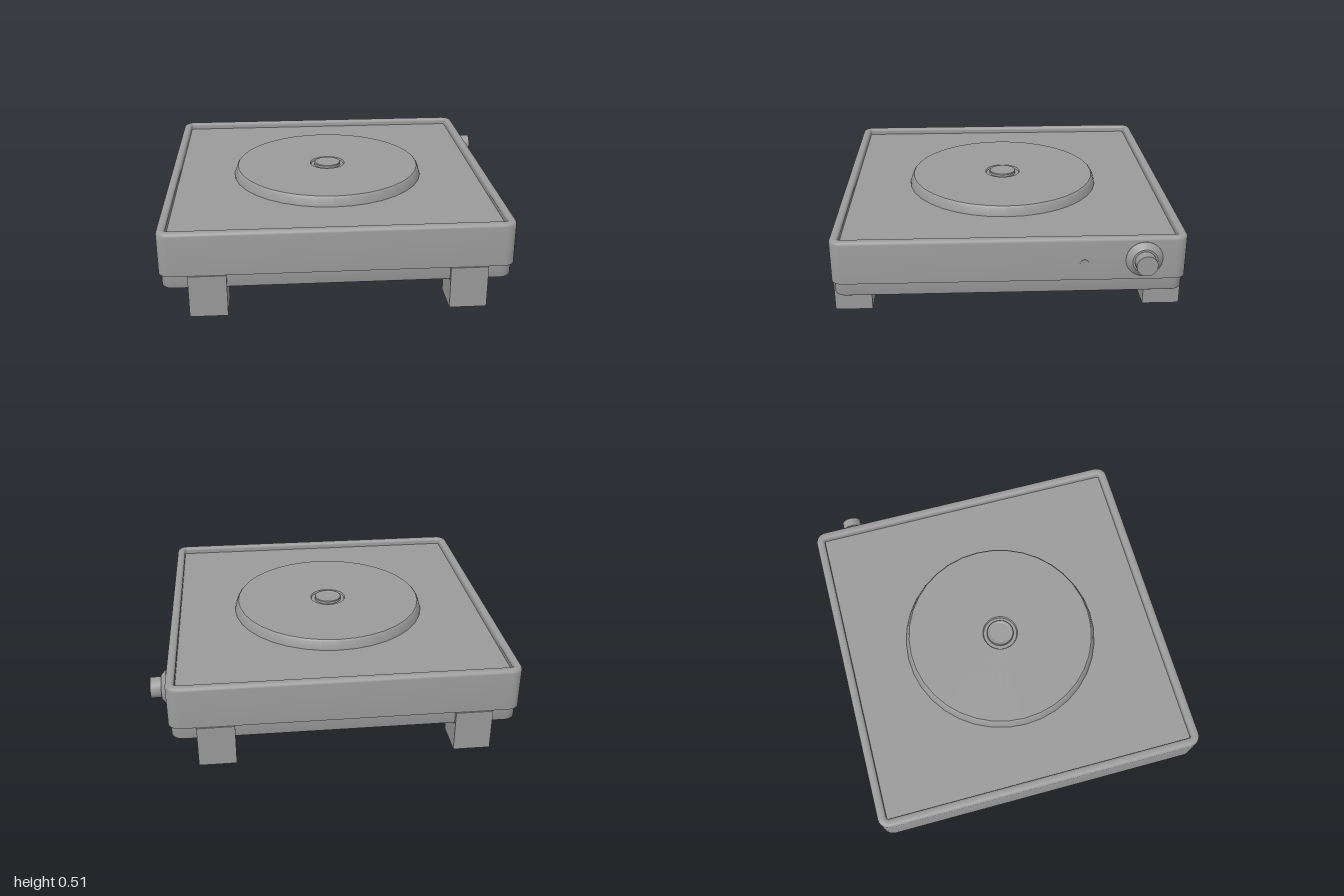
import * as THREE from 'three';
import { toCreasedNormals } from 'three/addons/utils/BufferGeometryUtils.js';

const CX = -0.045; // the body sits off centre because the knob sticks out
const material = new THREE.MeshStandardMaterial({ color: 0x9a9a9a });

function add(parent, name, geometry, x = 0, y = 0, z = 0) {
  const mesh = new THREE.Mesh(geometry, material);
  mesh.name = name;
  mesh.position.set(x, y, z);
  parent.add(mesh);
  return mesh;
}

// Closed rounded-square shell: profile lists [inset, y] from the bottom up and over
function roundedShell(halfX, halfZ, radius, profile) {
  const steps = 6, ring = 4 * (steps + 1), positions = [], index = [];
  for (const [inset, y] of profile) {
    const r = Math.max(radius - inset, 0.015);
    const cx = halfX - inset - r, cz = halfZ - inset - r;
    for (let q = 0; q < 4; q++) {
      for (let i = 0; i <= steps; i++) {
        const a = (q + i / steps) * Math.PI / 2;
        const sx = q === 0 || q === 3 ? 1 : -1, sz = q < 2 ? 1 : -1;
        positions.push(sx * cx + r * Math.cos(a), y, sz * cz + r * Math.sin(a));
      }
    }
  }
  for (let p = 0; p < profile.length - 1; p++) {
    for (let i = 0; i < ring; i++) {
      const j = (i + 1) % ring, a = p * ring, b = a + ring;
      index.push(a + i, b + i, a + j, a + j, b + i, b + j);
    }
  }
  // Flat caps at both ends
  const last = (profile.length - 1) * ring;
  for (let i = 1; i < ring - 1; i++) {
    index.push(0, i, i + 1, last, last + i + 1, last + i);
  }
  const g = new THREE.BufferGeometry();
  g.setAttribute('position', new THREE.Float32BufferAttribute(positions, 3));
  g.setIndex(index);
  return toCreasedNormals(g, 0.6);
}

// Quarter-round edge as [inset, y] pairs
function rounded(inset, y, r, from, to, n = 4) {
  return Array.from({ length: n + 1 }, (_, i) => {
    const a = from + (to - from) * i / n;
    return [inset - r * Math.cos(a), y + r * Math.sin(a)];
  });
}

function turned(points, segments) {
  const profile = points.map(([r, y]) => new THREE.Vector2(r, y));
  return toCreasedNormals(new THREE.LatheGeometry(profile, segments), 0.4);
}

export function createModel() {
  const model = new THREE.Group();

  // Housing with a rounded rim around a sunken top
  add(model, 'housing', roundedShell(0.955, 0.957, 0.065, [
    [0, 0.238],
    ...rounded(0.02, 0.463, 0.02, 0, Math.PI / 2),
    ...rounded(0.034, 0.467, 0.016, Math.PI / 2, Math.PI),
    [0.05, 0.445],
  ]), CX);

  // Slightly smaller base pan
  add(model, 'basePan', roundedShell(0.942, 0.944, 0.065, [
    ...rounded(0.008, 0.169, 0.008, -Math.PI / 2, 0, 3), [0, 0.242],
  ]), CX);

  // Hot plate with a sloping edge and a shallow circular groove in its middle
  add(model, 'hotPlate', turned([
    [0.573, 0.443], [0.571, 0.455], [0.558, 0.493], [0.55, 0.502],
    [0.105, 0.502], [0.1, 0.492], [0, 0.492],
  ], 36), CX);
  add(model, 'centreCap', turned([
    [0.08, 0.49], [0.08, 0.506], [0.077, 0.51], [0.067, 0.51],
    [0.062, 0.507], [0, 0.507],
  ], 28), CX);

  // Four bracket feet: a block under the base and a tab up the outside
  for (const sx of [-1, 1]) {
    for (const sz of [-1, 1]) {
      const foot = new THREE.Group();
      foot.name = 'foot';
      foot.position.set(CX + 0.003 + sx * 0.7, 0, 0);
      add(foot, 'footBlock', new THREE.BoxGeometry(0.204, 0.152, 0.206), 0, 0.076, sz * 0.862);
      add(foot, 'footTab', new THREE.BoxGeometry(0.204, 0.238, 0.025), 0, 0.119, sz * 0.9525);
      model.add(foot);
    }
  }

  // Control knob on the left side, towards the back
  const knob = add(model, 'controlKnob', turned([
    [0.1, -0.01], [0.1, 0.005], [0.068, 0.033], [0.057, 0.033],
    [0.057, 0.092], [0, 0.092],
  ], 28), 0.908, 0.358, -0.72);
  knob.rotation.z = -Math.PI / 2;

  // Small indicator lamp beside the knob
  const lamp = add(model, 'indicatorLamp',
    new THREE.CylinderGeometry(0.025, 0.025, 0.02, 16), 0.904, 0.335, -0.4);
  lamp.rotation.z = -Math.PI / 2;

  return model;
}
